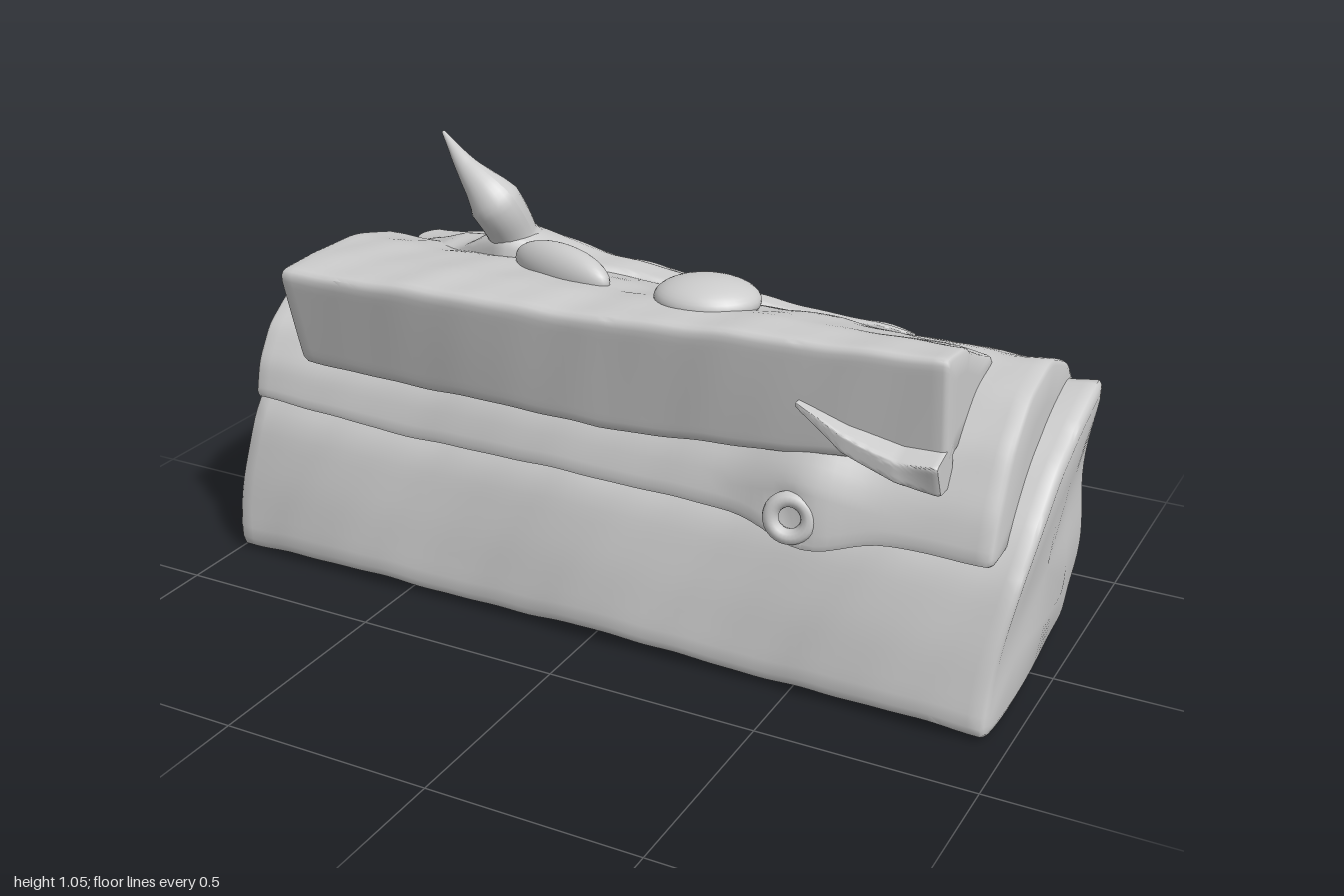
import * as THREE from 'three';
import { toCreasedNormals } from 'three/addons/utils/BufferGeometryUtils.js';

const RING = 72;
const bump = (x, c, w) => Math.exp(-(((x - c) / w) ** 2));
const rough = (x, y, z) =>
  0.5 * Math.sin(9 * x + 5 * y + 3 * z) + 0.3 * Math.sin(23 * x - 11 * y + 7 * z) + 0.2 * Math.sin(41 * x + 17 * z - 13 * y);

// Closed outline of [z, y] corners, resampled evenly and softened at its corners
function outline(corners) {
  const loop = [...corners, corners[0]].map(([z, y]) => new THREE.Vector2(z, y));
  const path = new THREE.CurvePath();
  for (let i = 0; i < corners.length; i++) path.add(new THREE.LineCurve(loop[i], loop[i + 1]));
  let pts = path.getSpacedPoints(RING).slice(0, RING);
  for (let pass = 0; pass < 2; pass++) {
    pts = pts.map((p, i) => p.clone().multiplyScalar(2)
      .add(pts[(i + 1) % RING]).add(pts[(i + RING - 1) % RING]).multiplyScalar(0.25));
  }
  return pts;
}

// Skin along x through stations [x, corners], with rounded-off ends
function loft(stations, { warp = () => {}, amp = 0.008, steps = 70, inset = 0.012 } = {}) {
  const x0 = stations[0][0], x1 = stations[stations.length - 1][0];
  const cut = (x) => {
    let k = 0;
    while (k < stations.length - 2 && x > stations[k + 1][0]) k++;
    const [xa, a] = stations[k], [xb, b] = stations[k + 1];
    const t = (x - xa) / (xb - xa);
    return outline(a.map((p, i) => [p[0] + (b[i][0] - p[0]) * t, p[1] + (b[i][1] - p[1]) * t]));
  };
  // each slice is [x, scale]; the end slices shrink to a closed cap
  const slices = [[x0, 0], [x0, 0.5], [x0, 0.92], [x0 + inset * 0.4, 0.98]];
  for (let i = 0; i <= steps; i++) slices.push([x0 + inset + (x1 - x0 - 2 * inset) * i / steps, 1]);
  slices.push([x1 - inset * 0.4, 0.98], [x1, 0.92], [x1, 0.5], [x1, 0]);

  const pos = [], index = [], v = new THREE.Vector3();
  slices.forEach(([x, s], i) => {
    const ring = cut(x);
    const c = ring.reduce((m, p) => m.add(p), new THREE.Vector2()).divideScalar(RING);
    ring.forEach((p, j) => {
      v.set(x, c.y + (p.y - c.y) * s, c.x + (p.x - c.x) * s);
      const n = rough(v.x, v.y, v.z) * amp;
      v.y += n;
      v.z += n * Math.sign(p.x - c.x) * 0.8;
      warp(v);
      pos.push(v.x, Math.max(0, v.y), v.z);
      if (i < slices.length - 1) {
        const a = i * RING + j, b = i * RING + (j + 1) % RING;
        index.push(a, a + RING, b, b, a + RING, b + RING);
      }
    });
  });
  const g = new THREE.BufferGeometry();
  g.setAttribute('position', new THREE.Float32BufferAttribute(pos, 3));
  g.setIndex(index);
  return toCreasedNormals(g, 0.9);
}

export function createModel() {
  const group = new THREE.Group();
  const material = new THREE.MeshStandardMaterial({ color: 0xcccccc });
  const add = (name, geometry) => {
    const mesh = new THREE.Mesh(geometry, material);
    mesh.name = name;
    group.add(mesh);
    return mesh;
  };

  // Large split log at the bottom, its ends leaning slightly
  add('baseLog', loft([
    [-1, [[.34, .01], [.32, .2], [.29, .36], [.2, .48], [.08, .58], [-.08, .65], [-.21, .68], [-.23, .45], [-.25, .2], [-.26, .02]]],
    [0, [[.34, .02], [.31, .2], [.27, .36], [.18, .46], [.08, .56], [-.08, .63], [-.2, .66], [-.22, .45], [-.24, .2], [-.26, .02]]],
    [.95, [[.34, .01], [.3, .2], [.25, .35], [.18, .45], [.08, .55], [-.08, .63], [-.2, .67], [-.21, .45], [-.24, .2], [-.26, .01]]],
  ], { amp: 0.009, warp: (v) => { v.x += 0.05 * v.y / 0.65 + 0.008 * Math.sin(14 * v.y + 9 * v.z); } }));

  // Half-round log draped over the base, swelling around a knot
  const round = [[.3, .39], [.27, .5], [.2, .62], [.1, .71], [-.04, .745], [-.18, .69], [-.27, .58], [-.32, .47],
    [-.23, .49], [-.1, .55], [.1, .5], [.2, .4]];
  add('roundLog', loft([
    [-.94, [[.3, .41], [.28, .5], [.23, .58], [.15, .64], [.06, .66], [-.02, .66], [-.08, .65], [-.1, .6],
      [-.08, .57], [-.02, .55], [.1, .5], [.2, .42]]],
    [-.55, round.map(([z, y]) => [z < 0 ? z * 0.85 : z, y > 0.6 ? y - 0.03 : y])],
    [.93, round],
  ], {
    amp: 0.006,
    warp: (v) => {
      if (v.z < 0.15) return;
      const b = bump(v.x, 0.52, 0.12) * (v.z - 0.15) / 0.15;
      v.y += b * (v.y < 0.45 ? -0.045 : 0.03);
      v.z += b * 0.035 - 0.04 * bump(Math.hypot(v.x - 0.49, v.y - 0.43), 0, 0.035);
    },
  }));

  // Knot rim on the round log
  const knot = add('knot', new THREE.TorusGeometry(0.042, 0.018, 12, 28));
  knot.position.set(0.49, 0.425, 0.318);
  knot.rotation.set(-0.15, 0.2, 0);

  // Torn splinter above the knot
  add('splinter', loft([
    [.49, [[.305, .675], [.305, .685], [.28, .685], [.28, .675]]],
    [.6, [[.32, .6], [.32, .64], [.25, .65], [.25, .59]]],
    [.72, [[.325, .56], [.325, .605], [.22, .64], [.22, .54]]],
    [.81, [[.29, .53], [.325, .61], [.22, .64], [.22, .53]]],
  ], { amp: 0.003, steps: 30 }));

  // Wedge log on top, its front face overhanging
  add('topLog', loft([
    [-.8, [[.28, .52], [.355, .78], [.22, .79], [.05, .785], [-.12, .74], [-.1, .64], [.1, .56]]],
    [0, [[.28, .51], [.33, .8], [.2, .81], [.06, .79], [-.08, .74], [-.06, .66], [.12, .58]]],
    [.45, [[.27, .54], [.305, .82], [.19, .82], [.05, .78], [-.05, .74], [-.03, .67], [.13, .6]]],
    [.81, [[.27, .59], [.29, .835], [.18, .825], [.06, .77], [-.02, .74], [0, .68], [.14, .62]]],
  ], { amp: 0.006 }));

  // Low lumps on the top log: x, y, z, radii, turn
  [[.2, .81, .13, .12, .05, .1, .2], [-.19, .8, .09, .15, .06, .05, -.3]].forEach(([x, y, z, a, b, c, turn], i) => {
    const lump = add('lump' + (i + 1), new THREE.SphereGeometry(1, 32, 20));
    lump.position.set(x, y, z);
    lump.scale.set(a, b, c);
    lump.rotation.y = turn;
  });

  // Tapering bark slab behind the top log, drawn up around the branch
  add('barkSlab', loft([
    [-.8, [[-.1, .6], [-.1, .68], [-.18, .69], [-.26, .68], [-.33, .68], [-.32, .65], [-.2, .6]]],
    [-.6, [[0, .65], [-.02, .76], [-.14, .76], [-.25, .71], [-.345, .7], [-.33, .66], [-.2, .62]]],
    [-.38, [[.06, .68], [.04, .79], [-.13, .79], [-.26, .73], [-.35, .7], [-.33, .665], [-.2, .64]]],
    [-.1, [[-.04, .68], [-.06, .76], [-.15, .755], [-.24, .71], [-.33, .665], [-.31, .63], [-.2, .64]]],
    [.55, [[-.2, .66], [-.2, .675], [-.21, .675], [-.22, .67], [-.24, .66], [-.24, .64], [-.22, .64]]],
  ], {
    amp: 0.009,
    warp: (v) => {
      if (v.y > 0.68) v.y += 0.05 * bump(Math.hypot(v.x + 0.39, v.z + 0.03), 0, 0.11);
      if (v.x < -0.75) v.x += 0.03 * Math.sin(28 * v.z);
    },
  }));

  // Branch stub: a tube whose radius follows a short list
  const radii = [.15, .085, .058, .06, .062, .042, .026, .014, .004];
  const path = new THREE.CatmullRomCurve3([[-.38, .72, -.06], [-.39, .83, -.02], [-.41, .92, .03], [-.48, .99, .03], [-.56, 1.055, 0]]
    .map((p) => new THREE.Vector3(...p)));
  const SEG = 48, branch = new THREE.TubeGeometry(path, SEG, 1, 24);
  const p = branch.attributes.position, v = new THREE.Vector3();
  for (let i = 0; i < p.count; i++) {
    const t = Math.floor(i / 25) / SEG, c = path.getPointAt(t), f = t * (radii.length - 1), k = Math.min(Math.floor(f), radii.length - 2);
    v.fromBufferAttribute(p, i).sub(c).multiplyScalar(THREE.MathUtils.lerp(radii[k], radii[k + 1], f - k)).add(c);
    p.setXYZ(i, v.x, v.y, v.z);
  }
  branch.computeVertexNormals();
  add('branch', branch);

  // Two split planks leaning against the back
  add('innerPlank', loft([
    [-.86, [[-.2, .2], [-.2, .42], [-.25, .44], [-.3, .32], [-.32, .2]]],
    [.78, [[-.2, .21], [-.2, .42], [-.235, .43], [-.26, .3], [-.26, .21]]],
  ], { amp: 0.008 }));
  add('outerPlank', loft([
    [-.92, [[-.24, .27], [-.2, .56], [-.29, .58], [-.33, .42], [-.35, .26]]],
    [-.1, [[-.25, .25], [-.2, .5], [-.27, .51], [-.32, .4], [-.345, .25]]],
    [.66, [[-.25, .25], [-.21, .45], [-.25, .46], [-.29, .38], [-.32, .25]]],
  ], { amp: 0.012 }));

  return group;
}
